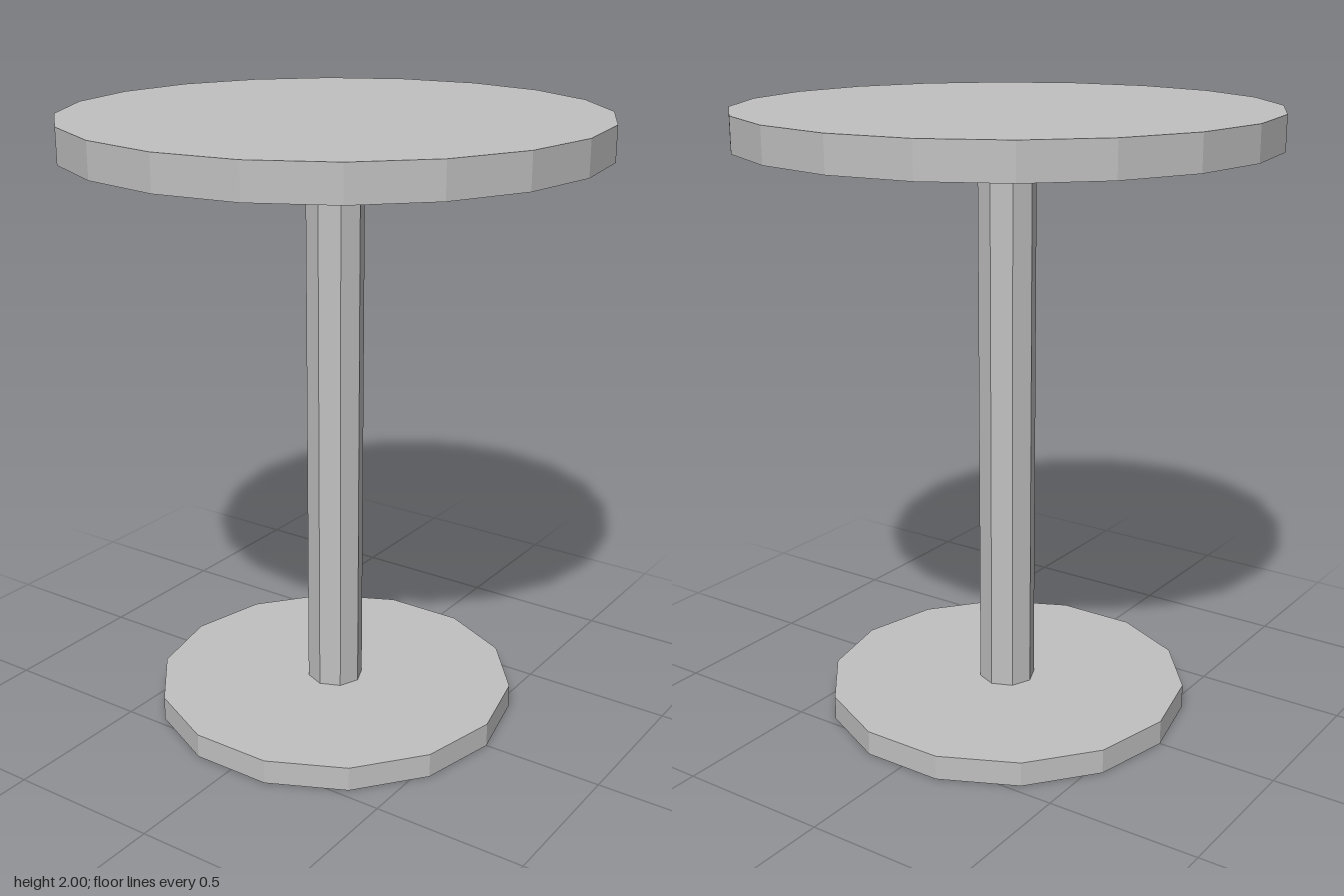
import * as THREE from 'three';

const grey = new THREE.MeshStandardMaterial({ color: 0xc0c0c0, flatShading: true });
grey.name = 'grey';

// Upright faceted disc or post from y0 to y1, with a corner on the x axis
function prism(name, radius, y0, y1, sides) {
  const geometry = new THREE.CylinderGeometry(radius, radius, y1 - y0, sides);
  geometry.rotateY(Math.PI / 2);
  const mesh = new THREE.Mesh(geometry, grey);
  mesh.name = name;
  mesh.position.y = (y0 + y1) / 2;
  return mesh;
}

export function createModel() {
  const table = new THREE.Group();
  table.name = 'pedestalTable';
  table.add(
    prism('base', 0.6, 0, 0.08, 14),
    prism('post', 0.093, 0.08, 1.89, 8),
    prism('tableTop', 0.85, 1.89, 2, 20),
  );
  return table;
}
